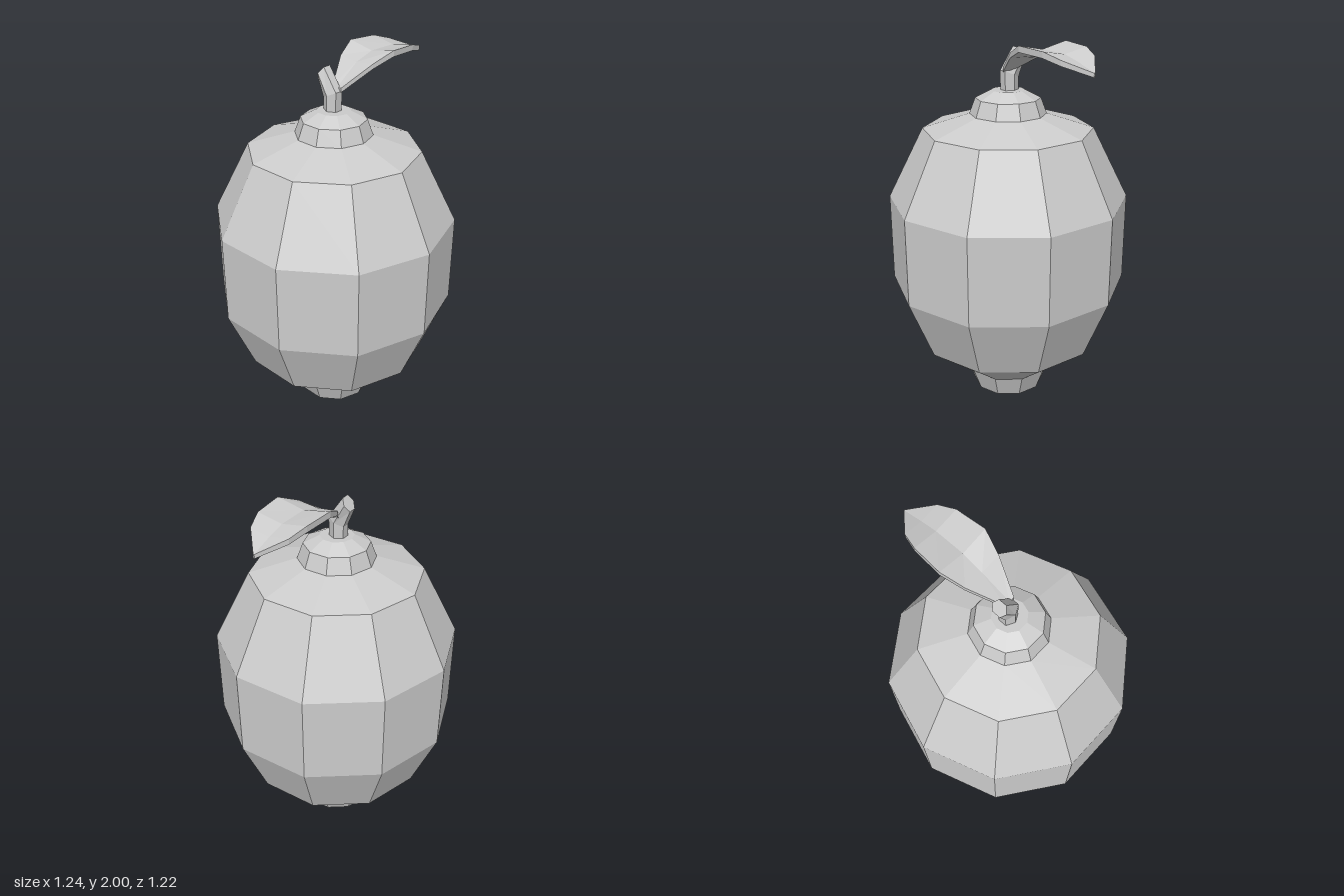
import * as THREE from 'three';

const material = new THREE.MeshStandardMaterial({ color: 0xcccccc, flatShading: true });

// Skin a closed solid over rings of points (counter-clockwise seen from the far end).
function loft(rings) {
  const n = rings[0].length;
  const index = [];
  for (let i = 0; i < rings.length - 1; i++) {
    for (let j = 0; j < n; j++) {
      const k = (j + 1) % n;
      const a = i * n + j, b = i * n + k, c = b + n, d = a + n;
      index.push(a, b, c, a, c, d);
    }
  }
  const last = (rings.length - 1) * n;
  for (let j = 1; j < n - 1; j++) {
    index.push(0, j + 1, j);
    index.push(last, last + j, last + j + 1);
  }
  const geometry = new THREE.BufferGeometry();
  geometry.setAttribute('position', new THREE.Float32BufferAttribute(rings.flat(2), 3));
  geometry.setIndex(index);
  const flat = geometry.toNonIndexed();
  flat.computeVertexNormals();
  return flat;
}

function addPart(group, name, geometry) {
  const mesh = new THREE.Mesh(geometry, material);
  mesh.name = name;
  group.add(mesh);
  return mesh;
}

export function createModel() {
  const group = new THREE.Group();
  group.name = 'lemon';
  const centreZ = 0.02;

  // Ten-sided fruit body with a nub at both ends
  const profile = [
    [0, 0], [0.19, 0.08], [0.235, 0.2], [0.485, 0.39], [0.62, 0.72],
    [0.62, 1.18], [0.435, 1.545], [0.195, 1.62], [0.165, 1.7], [0.085, 1.74], [0, 1.74],
  ].map(([r, y]) => new THREE.Vector2(r, y));
  const fruit = addPart(group, 'fruit', new THREE.LatheGeometry(profile, 10));
  fruit.rotation.y = Math.PI / 10;
  fruit.position.z = centreZ;

  // Six-sided bent stem: centre x, y and half-width vector of each cross-section
  const stemRings = [
    [-0.008, 1.72, 0.04, 0],
    [-0.008, 1.818, 0.041, 0.018],
    [-0.065, 1.917, 0.02, 0.03],
  ].map(([x, y, ux, uy]) => Array.from({ length: 6 }, (_, k) => {
    const angle = Math.PI / 6 + k * Math.PI / 3;
    const u = Math.cos(angle) / Math.cos(Math.PI / 6);
    return [x + ux * u, y + uy * u, centreZ - 0.042 * Math.sin(angle)];
  }));
  addPart(group, 'stem', loft(stemRings));

  // Folded leaf: centre x, z, half width, rim height, midrib height, thickness
  const leafRings = [
    [0.01, 0.01, 0.028, 1.855, 1.85, 0.022],
    [0, -0.14, 0.105, 1.952, 1.94, 0.025],
    [0, -0.25, 0.14, 2.0, 1.972, 0.03],
    [0, -0.41, 0.128, 1.993, 1.97, 0.03],
    [0, -0.5, 0.1, 1.965, 1.948, 0.026],
    [0, -0.612, 0.003, 1.915, 1.914, 0.02],
  ].map(([x, z, w, rim, rib, t]) => [
    [x - w, rim, z], [x, rib, z], [x + w, rim, z],
    [x + w, rim - t, z], [x, rib - t, z], [x - w, rim - t, z],
  ]);
  addPart(group, 'leaf', loft(leafRings));

  return group;
}
